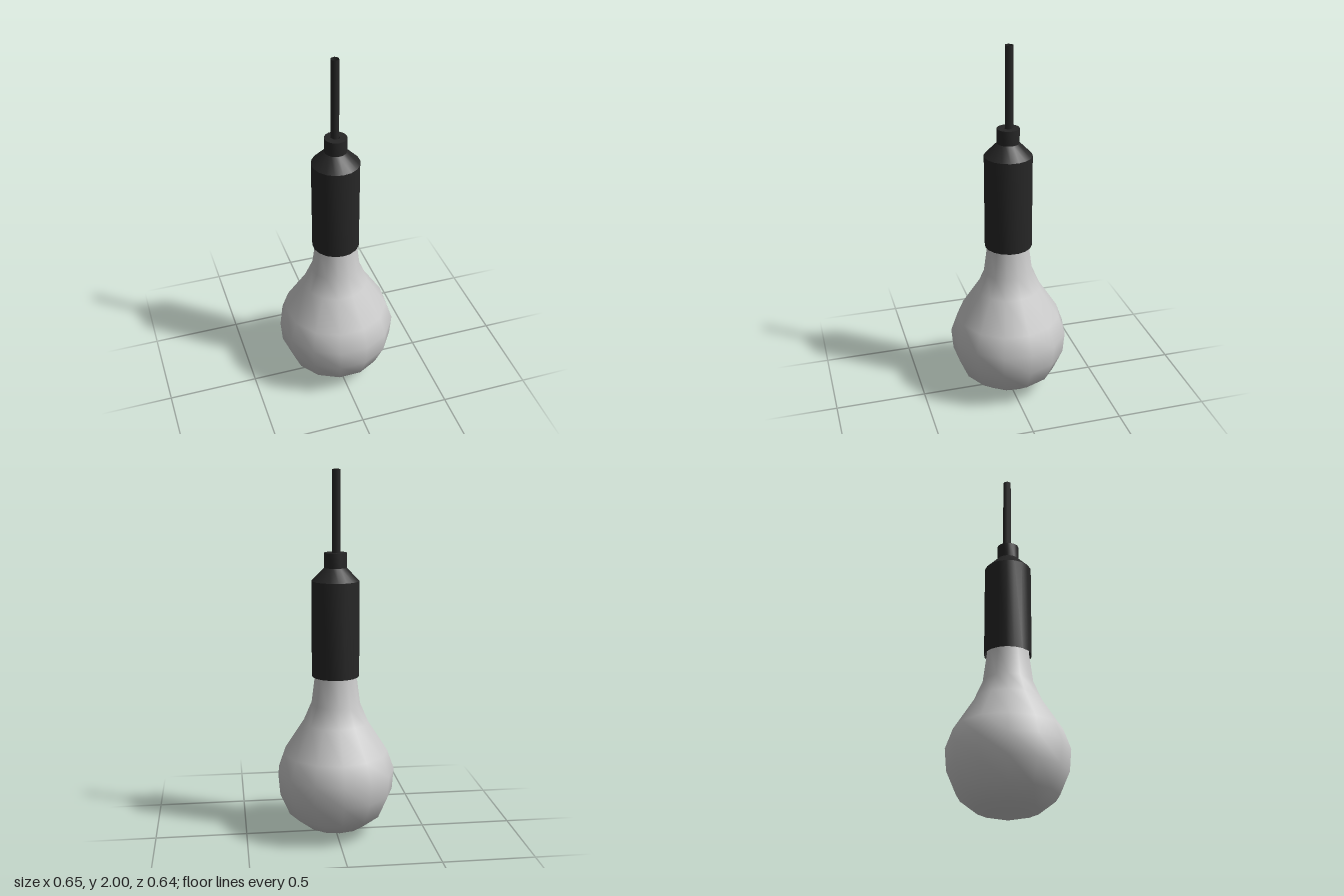
import * as THREE from 'three';
import { toCreasedNormals } from 'three/addons/utils/BufferGeometryUtils.js';

// Turned part from [radius, height] pairs, listed bottom to top
function turned(name, profile, sides, phase, material, crease) {
  const points = profile.map(([r, y]) => new THREE.Vector2(r, y));
  let geometry = new THREE.LatheGeometry(points, sides, phase);
  if (crease) geometry = toCreasedNormals(geometry, crease);
  const mesh = new THREE.Mesh(geometry, material);
  mesh.name = name;
  return mesh;
}

export function createModel() {
  const glass = new THREE.MeshStandardMaterial({ color: 0xcccccc });
  const black = new THREE.MeshStandardMaterial({ color: 0x262626, side: THREE.DoubleSide });
  const model = new THREE.Group();
  model.name = 'pendantBulb';

  // Pear-shaped glass with its neck closed inside the socket
  const bulb = turned('bulb', [
    [0, 0], [0.165, 0.045], [0.262, 0.12], [0.315, 0.242], [0.325, 0.36],
    [0.287, 0.468], [0.18, 0.635], [0.135, 0.74], [0.114, 0.9], [0.11, 0.96], [0, 0.98],
  ], 13, THREE.MathUtils.degToRad(15), glass);

  // Hollow sleeve, sloping shoulder and cord collar
  const socket = turned('socket', [
    [0.129, 0.895], [0.129, 1.415], [0.06, 1.485], [0.06, 1.565], [0.021, 1.565],
  ], 18, 0, black, 0.6);

  // Open-ended cord
  const cord = turned('cord', [[0.0225, 1.56], [0.0225, 2]], 7, 0.2, black);
  cord.position.set(-0.003, 0, -0.005);

  model.add(bulb, socket, cord);
  return model;
}
